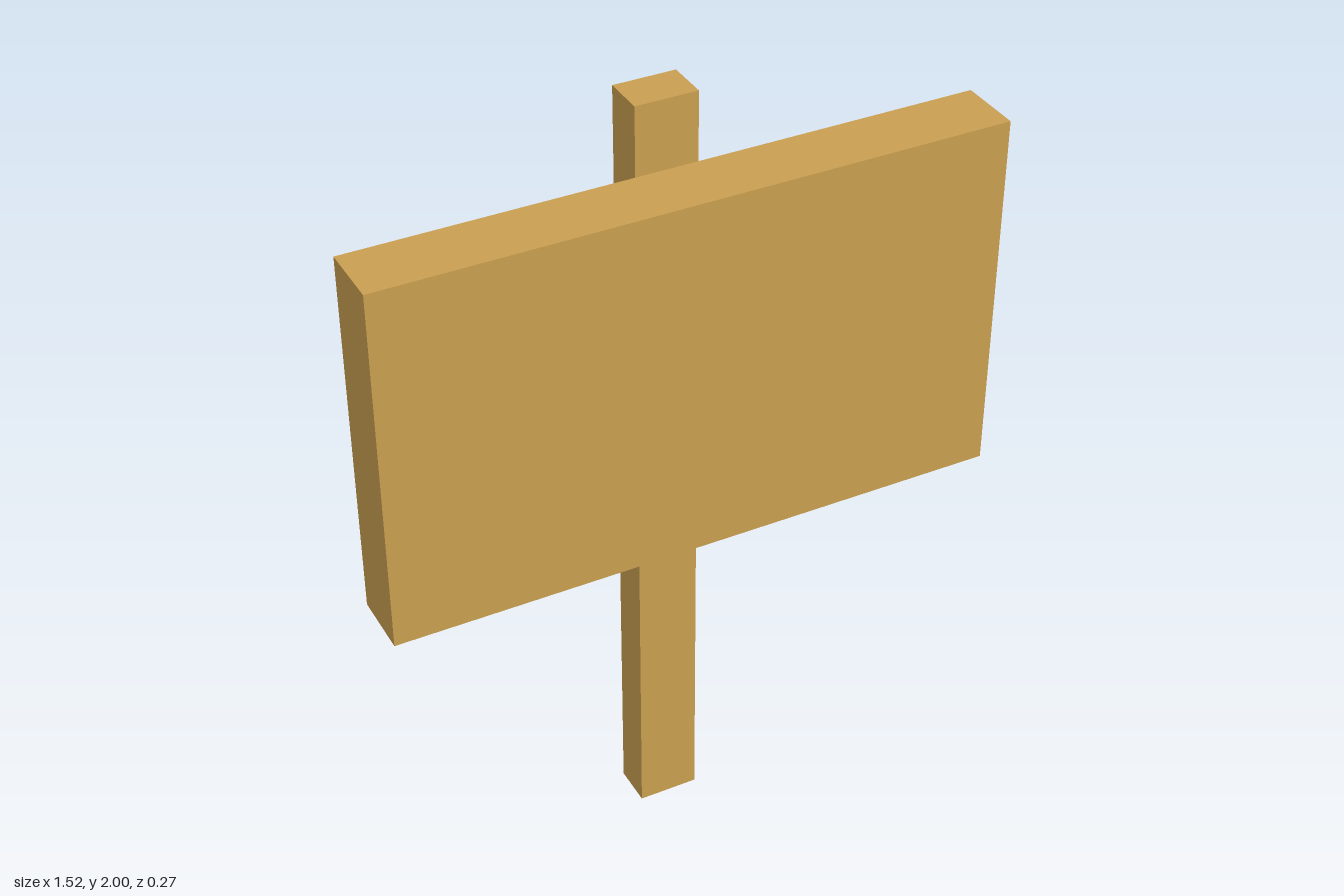
import * as THREE from 'three';

export function createModel() {
  const model = new THREE.Group();
  model.name = 'signpost';

  const wood = new THREE.MeshStandardMaterial({ color: 0xc99e50 });
  wood.name = 'wood';

  // Box given by its lower and upper corners
  function addBox(name, min, max) {
    const [w, h, d] = max.map((v, i) => v - min[i]);
    const mesh = new THREE.Mesh(new THREE.BoxGeometry(w, h, d), wood);
    mesh.position.set(...max.map((v, i) => (v + min[i]) / 2));
    mesh.name = name;
    model.add(mesh);
  }

  // Upright behind the board, with a narrow gap between them
  addBox('post', [-0.076, 0, -0.137], [0.076, 2, -0.032]);
  addBox('signBoard', [-0.762, 0.92, -0.024], [0.762, 1.835, 0.137]);

  return model;
}
